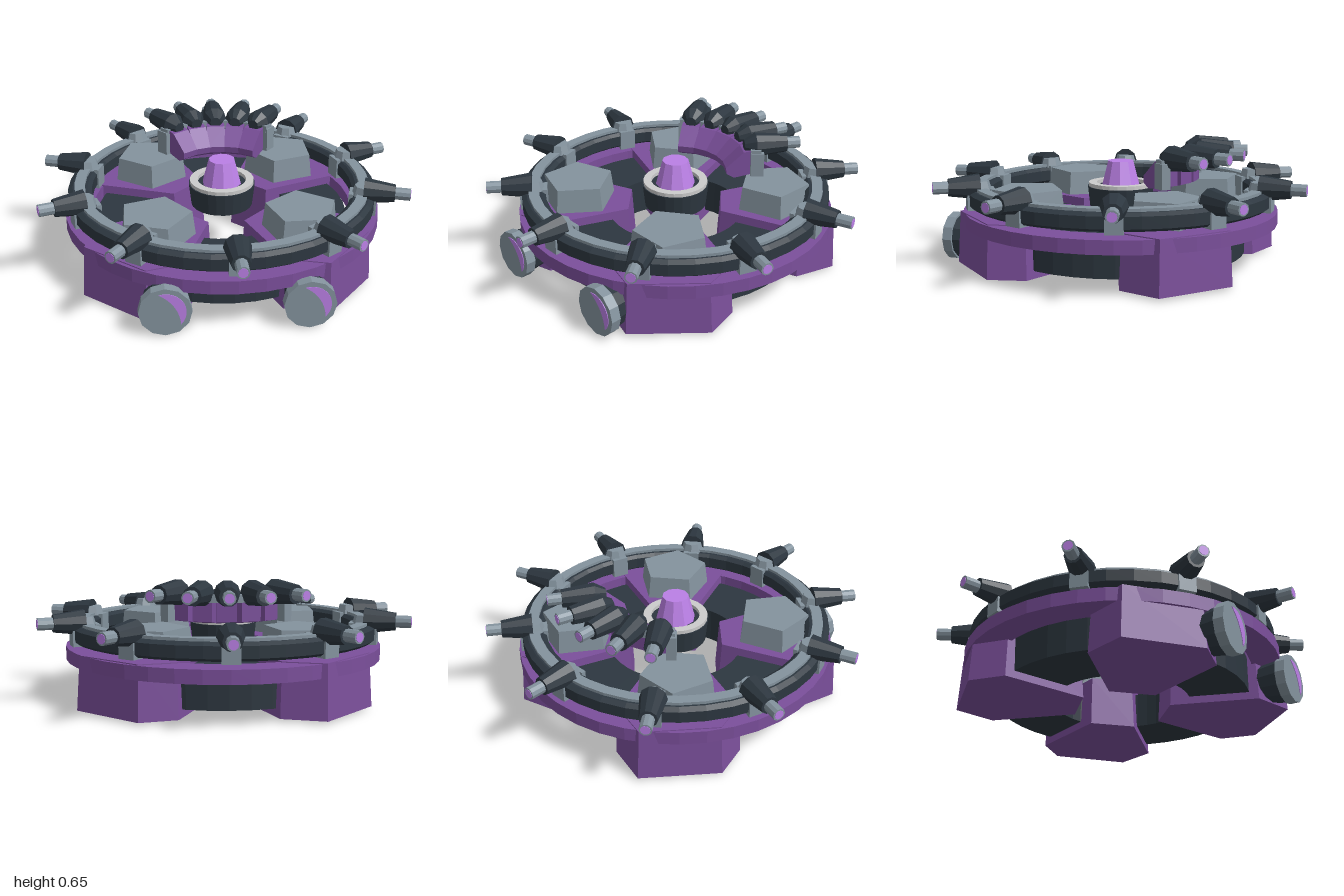
import * as THREE from 'three';

const mat = (color) => new THREE.MeshStandardMaterial({ color, flatShading: true });
const purple = mat(0x7b4f9b), dark = mat(0x2d3740), grey = mat(0x84939e);
const lilac = mat(0xbb80e6), pale = mat(0xc8ccc8);

function add(parent, name, geometry, material) {
  const mesh = new THREE.Mesh(geometry, material);
  mesh.name = name;
  parent.add(mesh);
  return mesh;
}

// Solid of revolution from a closed [radius, y] loop, listed counterclockwise
function ring(loop, sides) {
  const pts = [...loop, loop[0]].map(([r, y]) => new THREE.Vector2(r, y));
  return new THREE.LatheGeometry(pts, sides);
}
const flatRing = (r0, r1, y0, y1, sides = 40) => ring([[r1, y0], [r1, y1], [r0, y1], [r0, y0]], sides);

// Upright prism from a plan outline (plan y points to -z)
function prism(shape, y0, y1, curveSegments = 12) {
  const g = new THREE.ExtrudeGeometry(shape, { depth: y1 - y0, bevelEnabled: false, curveSegments });
  return g.rotateX(-Math.PI / 2).translate(0, y0, 0);
}

const outline = (pts) => new THREE.Shape(pts.map(([x, y]) => new THREE.Vector2(x, y)));

// Round bar along +x from x0 to x1
function bar(x0, x1, r0, r1, y, sides) {
  return new THREE.CylinderGeometry(r1, r0, x1 - x0, sides)
    .rotateZ(-Math.PI / 2).translate((x0 + x1) / 2, y, 0);
}

// Cannon pointing along +x: tapered body, muzzle and glowing bore
function cannon(parent, x0, x1, x2, y, r0, r1) {
  add(parent, 'cannonBody', bar(x0, x1, r0, r1, y, 10), dark);
  add(parent, 'cannonMuzzle', bar(x1 - 0.01, x2 - 0.002, 0.032, 0.032, y, 10), grey);
  add(parent, 'cannonBore', bar(x2 - 0.01, x2, 0.024, 0.024, y, 10), lilac);
}

function spoke(parent, name, angle) {
  const g = new THREE.Group();
  g.name = name;
  g.rotation.y = angle;
  parent.add(g);
  return g;
}

export function createModel() {
  const model = new THREE.Group();
  model.name = 'cannonPlatform';

  // Base rings
  add(model, 'baseRing', flatRing(0.69, 0.84, 0.22, 0.29), purple);
  add(model, 'innerRing', flatRing(0.36, 0.67, 0.06, 0.25), dark);

  // Raised gun ring with a pale track on top
  add(model, 'gunRing', ring([[0.8, 0.32], [0.82, 0.335], [0.82, 0.395], [0.795, 0.41],
    [0.715, 0.41], [0.695, 0.395], [0.695, 0.335], [0.715, 0.32]], 40), dark);
  add(model, 'gunRingTrack', flatRing(0.73, 0.785, 0.4, 0.425), grey);

  // Four tapered hexagonal pods, each with a pentagonal cap
  const podPlan = outline([[0.23, -0.12], [0.65, -0.31], [0.85, -0.2], [0.82, 0.21], [0.65, 0.31], [0.23, 0.12]]);
  for (let i = 0; i < 4; i++) {
    const pod = spoke(model, 'pod', Math.PI / 4 + i * Math.PI / 2);
    const body = prism(podPlan, 0.02, 0.295);
    const p = body.attributes.position;
    for (let k = 0; k < p.count; k++) {
      if (p.getY(k) > 0.2) p.setXYZ(k, 0.55 + (p.getX(k) - 0.55) * 0.95, p.getY(k), p.getZ(k) * 0.95);
    }
    add(pod, 'podBody', body, purple);
    const cap = new THREE.CylinderGeometry(0.188, 0.205, 0.135, 5).rotateY(Math.PI / 2 - 0.157);
    add(pod, 'podCap', cap, grey).position.set(0.525, 0.355, 0);
  }

  // Ten cannons clamped around the gun ring
  for (let i = 0; i < 10; i++) {
    const gun = spoke(model, 'ringCannon', Math.PI / 2 + i * Math.PI / 5);
    cannon(gun, 0.76, 0.92, 1, 0.43, 0.068, 0.046);
    add(gun, 'clampCap', new THREE.CylinderGeometry(0.05, 0.068, 0.06, 8), grey).position.set(0.76, 0.43, 0);
    for (const x of [0.695, 0.815]) {
      add(gun, 'clampLeg', new THREE.BoxGeometry(0.024, 0.11, 0.09), grey).position.set(x, 0.365, 0);
    }
    add(gun, 'clampFoot', new THREE.BoxGeometry(0.12, 0.02, 0.09), grey).position.set(0.755, 0.32, 0);
  }

  // Central hub with glowing core
  add(model, 'hub', new THREE.CylinderGeometry(0.178, 0.165, 0.12, 24), dark).position.y = 0.34;
  add(model, 'hubRim', flatRing(0.13, 0.172, 0.39, 0.42, 24), pale);
  add(model, 'hubCore', new THREE.CylinderGeometry(0.07, 0.108, 0.145, 10), lilac).position.y = 0.4625;

  // Fan of five rear cannons on sloping purple mounts
  const mountSide = outline([[0.27, 0.455], [0.31, 0.43], [0.42, 0.45], [0.42, 0.585], [0.36, 0.575], [0.265, 0.49]]);
  for (let i = -2; i <= 2; i++) {
    const gun = spoke(model, 'rearCannon', Math.PI / 2 + i * 0.295);
    const mount = new THREE.ExtrudeGeometry(mountSide, { depth: 0.1, bevelEnabled: false });
    add(gun, 'rearMount', mount.translate(0, 0, -0.05), purple);
    cannon(gun, 0.43, 0.6, 0.675, 0.595, 0.066, 0.048);
    add(gun, 'rearCannonBack', bar(0.37, 0.43, 0.03, 0.066, 0.595, 10), dark);
  }

  // Curved bracket that carries the rear cannons
  const arc = new THREE.Shape();
  arc.absarc(0, 0, 0.455, Math.PI / 2 - 0.76, Math.PI / 2 + 0.76, false);
  arc.absarc(0, 0, 0.4, Math.PI / 2 + 0.76, Math.PI / 2 - 0.76, true);
  add(model, 'rearBracket', prism(arc, 0.55, 0.592, 14), grey);
  for (const s of [-1, 1]) {
    const leg = spoke(model, 'rearBracketEnd', Math.PI / 2 + s * 0.72);
    add(leg, 'rearBracketLeg', new THREE.BoxGeometry(0.07, 0.13, 0.05), grey).position.set(0.435, 0.51, 0);
  }

  // Two front lamps with a crescent glow
  const glow = new THREE.Shape();
  glow.absarc(0, 0, 0.1, 1.85, -0.75, true);
  glow.quadraticCurveTo(0.065, 0.04, -0.028, 0.096);
  for (const s of [-1, 1]) {
    const lamp = new THREE.Group();
    lamp.name = 'frontLamp';
    lamp.position.set(s * 0.345, 0.135, 0);
    model.add(lamp);
    const disc = (r0, r1, d) => new THREE.CylinderGeometry(r1, r0, d, 12).rotateX(Math.PI / 2);
    add(lamp, 'lampHousing', disc(0.09, 0.118, 0.2), dark).position.z = 0.68;
    add(lamp, 'lampRim', disc(0.128, 0.128, 0.052), grey).position.z = 0.806;
    const glowGeo = new THREE.ExtrudeGeometry(glow, { depth: 0.006, bevelEnabled: false });
    add(lamp, 'lampGlow', glowGeo, lilac).position.z = 0.829;
  }
  return model;
}
